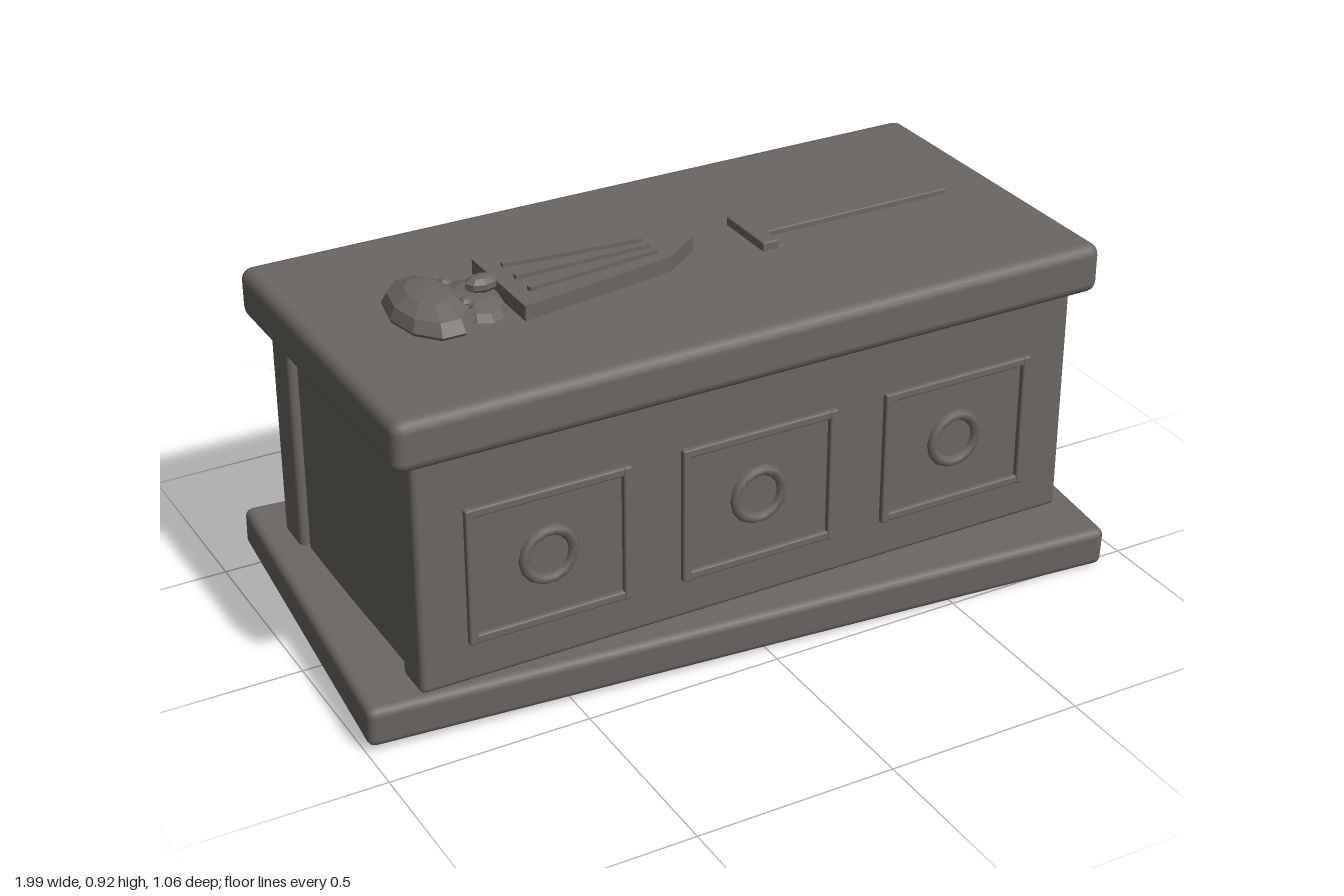
import * as THREE from 'three';
import { RoundedBoxGeometry } from 'three/addons/geometries/RoundedBoxGeometry.js';

export function createModel() {
  const group = new THREE.Group();
  const stone = new THREE.MeshStandardMaterial({ color: 0x6a6661 });
  stone.name = 'stone';

  const add = (name, geometry, x, y, z, parent = group) => {
    const mesh = new THREE.Mesh(geometry, stone);
    mesh.name = name;
    mesh.position.set(x, y, z);
    parent.add(mesh);
    return mesh;
  };

  // Block with softened edges, given by its limits on each axis
  const slab = (name, [x0, x1], [y0, y1], [z0, z1], r, parent) =>
    add(name, new RoundedBoxGeometry(x1 - x0, y1 - y0, z1 - z0, 2, r),
      (x0 + x1) / 2, (y0 + y1) / 2, (z0 + z1) / 2, parent);

  // Faceted, squashed ball
  const lump = (name, x, y, z, rx, ry, rz, parent, across = 10, down = 6) => {
    const g = new THREE.SphereGeometry(1, across, down).scale(rx, ry, rz).toNonIndexed();
    g.computeVertexNormals();
    return add(name, g, x, y, z, parent);
  };

  // Crooked plinth, turned and slightly tipped
  const plinth = add('plinth', new RoundedBoxGeometry(1.932, 0.102, 0.925, 2, 0.02), 0, 0.077, 0);
  plinth.rotation.set(0.04, -0.073, -0.005, 'ZXY');

  // Chest walls
  slab('frontWall', [-0.87, 0.865], [0.128, 0.724], [0.3, 0.403], 0.014);
  slab('backWall', [-0.87, 0.865], [0.128, 0.724], [-0.403, -0.298], 0.014);
  for (const s of [-1, 1]) {
    const c = s * 0.8 - 0.002;
    slab(s > 0 ? 'leftWall' : 'rightWall', [c - 0.05, c + 0.05], [0.128, 0.714], [-0.296, 0.298], 0.012);
  }

  // Lid
  slab('lid', [-0.922, 0.918], [0.724, 0.85], [-0.445, 0.445], 0.028);

  // Three framed panels with rings on the front
  for (const x of [-0.545, 0, 0.545]) {
    const panel = new THREE.Group();
    panel.name = 'frontPanel';
    group.add(panel);
    for (const s of [-1, 1]) {
      const px = x + s * 0.196, py = 0.405 + s * 0.163;
      slab('frameUpright', [px - 0.011, px + 0.011], [0.23, 0.58], [0.395, 0.417], 0.005, panel);
      slab('frameRail', [x - 0.2, x + 0.2], [py - 0.011, py + 0.011], [0.395, 0.415], 0.005, panel);
    }
    add('ring', new THREE.TorusGeometry(0.063, 0.014, 6, 14), x, 0.405, 0.403, panel);
  }

  // Carved figure on the lid: head, jaw and small face bumps
  const figure = new THREE.Group();
  figure.name = 'carvedFigure';
  group.add(figure);
  lump('cranium', -0.636, 0.858, -0.003, 0.094, 0.057, 0.152, figure);
  lump('jaw', -0.525, 0.85, 0, 0.07, 0.035, 0.112, figure, 12);
  lump('nose', -0.503, 0.897, 0, 0.042, 0.022, 0.03, figure, 8, 5);
  for (const s of [-1, 1]) lump('eye', -0.568, 0.887, s * 0.057, 0.018, 0.015, 0.017, figure, 8, 5);

  // Tapered body of the figure
  const outline = new THREE.Shape([
    [-0.46, 0.14], [-0.46, -0.14], [-0.05, -0.073], [0.05, 0], [-0.05, 0.073],
  ].map(([x, y]) => new THREE.Vector2(x, y)));
  const bodyGeo = new THREE.ExtrudeGeometry(outline, { depth: 0.043, bevelEnabled: false });
  add('taperedBody', bodyGeo.rotateX(-Math.PI / 2), 0, 0.845, 0, figure);

  // Ribs converging toward the tip
  for (const s of [-1, 0, 1]) {
    const rib = add('rib', new THREE.BoxGeometry(0.35, 0.018, 0.014), -0.243, 0.889, s * 0.053, figure);
    rib.rotation.y = s * 0.1;
  }

  // Carved sword
  const sword = new THREE.Group();
  sword.name = 'carvedSword';
  group.add(sword);
  slab('crossguard', [0.193, 0.236], [0.84, 0.872], [-0.09, 0.085], 0.004, sword);
  slab('blade', [0.23, 0.757], [0.84, 0.865], [-0.021, 0.019], 0.004, sword);

  return group;
}
